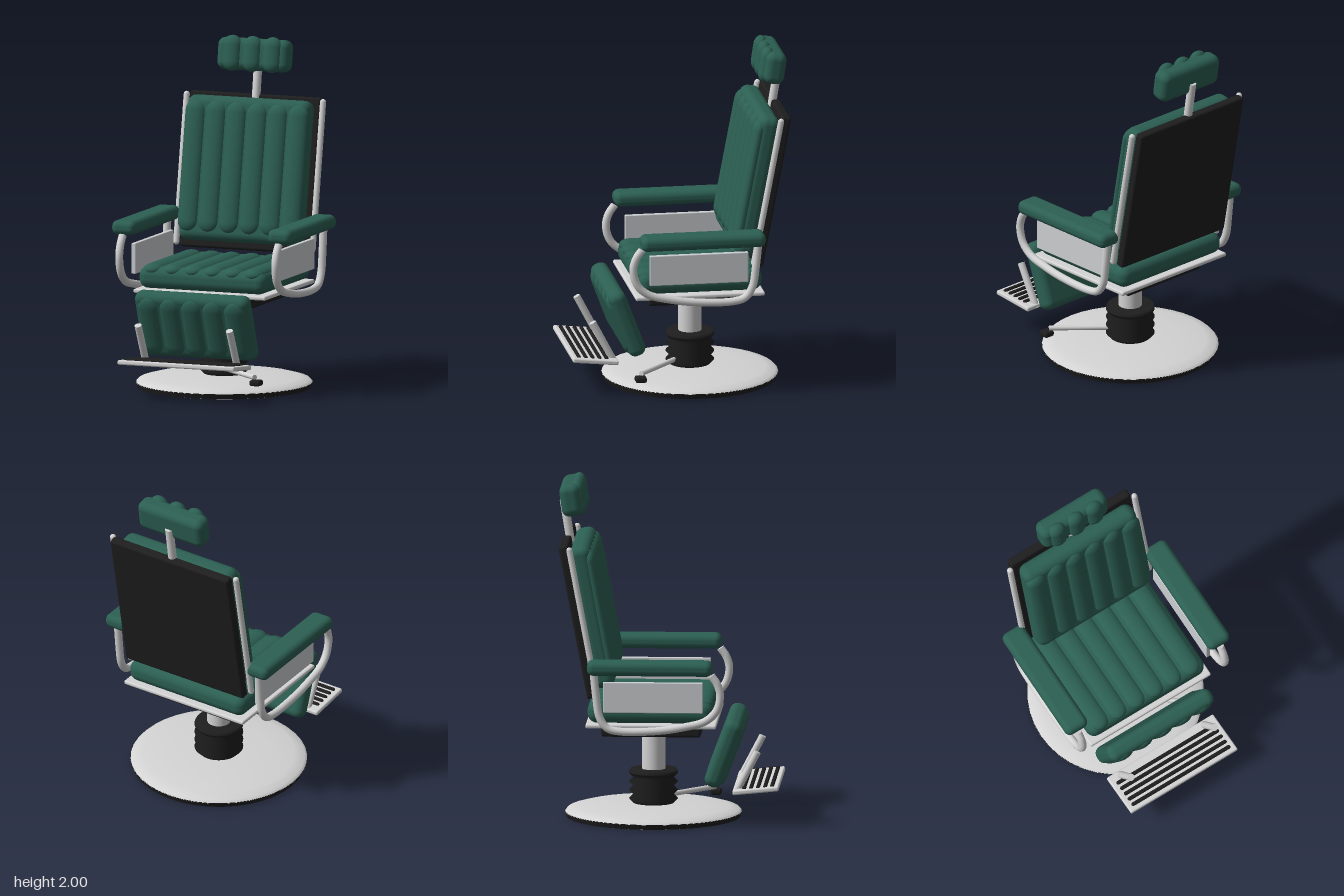
import * as THREE from 'three';
import { RoundedBoxGeometry } from 'three/addons/geometries/RoundedBoxGeometry.js';

const material = (name, color) => {
  const m = new THREE.MeshStandardMaterial({ color });
  m.name = name;
  return m;
};

export function createModel() {
  const green = material('green upholstery', 0x2c5f52);
  const black = material('black', 0x1e1e1e);
  const chrome = material('chrome', 0xd4d4d4);
  const panelGrey = material('panel grey', 0xcdd0d2);

  const chair = new THREE.Group();
  chair.name = 'recliningChair';

  const add = (parent, name, geometry, mat, x = 0, y = 0, z = 0) => {
    const mesh = new THREE.Mesh(geometry, mat);
    mesh.name = name;
    mesh.position.set(x, y, z);
    parent.add(mesh);
    return mesh;
  };
  const block = (parent, name, mat, size, pos, radius) =>
    add(parent, name, new RoundedBoxGeometry(...size, 4, radius), mat, ...pos);
  const group = (name, x, y, z, tilt) => {
    const g = new THREE.Group();
    g.name = name;
    g.position.set(x, y, z);
    g.rotation.x = tilt;
    chair.add(g);
    return g;
  };
  // Round bar between two points
  const rod = (parent, name, mat, a, b, r) => {
    const from = new THREE.Vector3(...a), to = new THREE.Vector3(...b);
    const dir = to.clone().sub(from);
    const mesh = add(parent, name, new THREE.CylinderGeometry(r, r, dir.length(), 16), mat);
    mesh.position.copy(from).add(to).multiplyScalar(0.5);
    mesh.quaternion.setFromUnitVectors(new THREE.Vector3(0, 1, 0), dir.normalize());
    return mesh;
  };
  // Row of flattened capsules along local y, bulging towards local z
  const ribs = (parent, count, spacing, radius, length, depth, y, z) => {
    for (let i = 0; i < count; i++) {
      const geo = new THREE.CapsuleGeometry(radius, length - 2 * radius, 8, 20);
      geo.scale(1, 1, depth / radius);
      add(parent, 'paddedRib', geo, green, (i - (count - 1) / 2) * spacing, y, z);
    }
  };
  const lathe = (name, mat, points) =>
    add(chair, name, new THREE.LatheGeometry(points.map(p => new THREE.Vector2(...p)), 40), mat, 0, 0, -0.1);

  // Base and lifting column
  add(chair, 'baseRim', new THREE.CylinderGeometry(0.515, 0.505, 0.03, 40), black, 0, 0.017, -0.1);
  add(chair, 'baseUnderside', new THREE.CylinderGeometry(0.495, 0.495, 0.004, 40), chrome, 0, 0.002, -0.1);
  lathe('baseDisc', chrome, [[0.515, 0.03], [0.5, 0.046], [0.44, 0.062], [0.3, 0.072], [0.14, 0.08], [0, 0.08]]);
  const folds = [[0.125, 0.07]];
  for (let i = 0; i < 4; i++) {
    const y = 0.08 + i * 0.05;
    folds.push([0.118, y], [0.142, y + 0.025]);
  }
  folds.push([0.142, 0.262], [0.135, 0.28], [0, 0.28]);
  lathe('bellows', black, folds).geometry = new THREE.LatheGeometry(
    folds.map(p => new THREE.Vector2(...p)), 32);
  add(chair, 'column', new THREE.CylinderGeometry(0.068, 0.068, 0.27, 32), chrome, 0, 0.395, -0.1);
  add(chair, 'columnCollar', new THREE.CylinderGeometry(0.09, 0.09, 0.02, 32), chrome, 0, 0.505, -0.1);

  // Pump pedal
  rod(chair, 'pedalLever', chrome, [0.06, 0.12, 0], [0.33, 0.12, 0.24], 0.015);
  block(chair, 'pedal', black, [0.065, 0.035, 0.065], [0.342, 0.09, 0.245], 0.012);

  // Seat
  block(chair, 'seatMount', black, [0.58, 0.07, 0.58], [0, 0.545, -0.1], 0.015);
  block(chair, 'seatFrame', chrome, [0.83, 0.025, 0.76], [0, 0.592, -0.095], 0.01);
  block(chair, 'seatCushion', green, [0.8, 0.13, 0.73], [0, 0.67, -0.1], 0.055);
  const seatRibs = group('seatRibs', 0, 0.715, -0.08, -Math.PI / 2);
  ribs(seatRibs, 6, 0.126, 0.063, 0.69, 0.037, 0, 0);

  // Backrest
  const back = group('backrest', 0, 0.755, -0.437, -0.187);
  block(back, 'backBoard', black, [0.82, 0.91, 0.055], [0, 0.455, 0], 0.015);
  block(back, 'backCushion', green, [0.77, 0.845, 0.125], [0, 0.462, 0.085], 0.05);
  ribs(back, 6, 0.129, 0.064, 0.77, 0.037, 0.47, 0.135);
  for (const s of [-1, 1]) {
    const rail = add(back, 'backRail', new THREE.CapsuleGeometry(0.018, 0.86, 4, 14), chrome, s * 0.428, 0.455, 0.035);
    rail.name = s > 0 ? 'leftBackRail' : 'rightBackRail';
  }

  // Headrest
  rod(chair, 'headrestPost', chrome, [0, 1.6, -0.58], [0, 1.86, -0.622], 0.025);
  const head = group('headrest', 0, 1.885, -0.572, -0.15);
  block(head, 'headCushion', green, [0.45, 0.188, 0.12], [0, 0, 0], 0.045);
  ribs(head, 3, 0.126, 0.057, 0.21, 0.04, 0.003, 0.045);

  // Armrests, tube loops and side panels
  const loop = [[0.91, 0.262], [0.86, 0.297], [0.79, 0.314], [0.7, 0.29], [0.64, 0.225], [0.605, 0.1],
    [0.582, -0.05], [0.577, -0.27], [0.597, -0.345], [0.66, -0.388], [0.78, -0.408], [0.94, -0.425]];
  for (const s of [-1, 1]) {
    const side = s > 0 ? 'left' : 'right';
    block(chair, side + 'Armrest', green, [0.148, 0.084, 0.73], [s * 0.49, 0.953, -0.095], 0.036);
    const curve = new THREE.CatmullRomCurve3(loop.map(([y, z]) => new THREE.Vector3(s * 0.49, y, z)));
    add(chair, side + 'ArmTube', new THREE.TubeGeometry(curve, 60, 0.023, 14), chrome);
    const cap = add(chair, side + 'ArmTubeEnd', new THREE.CircleGeometry(0.023, 14), chrome, s * 0.49, 0.91, 0.262);
    cap.rotation.x = -Math.PI / 2 - 0.6;
    block(chair, side + 'SidePanel', panelGrey, [0.028, 0.18, 0.58], [s * 0.443, 0.77, -0.08], 0.005);
  }

  // Calf pad
  const leg = group('legRest', 0, 0.418, 0.327, 0.36);
  block(leg, 'legCushion', green, [0.715, 0.41, 0.105], [0, 0, -0.005], 0.045);
  ribs(leg, 5, 0.135, 0.066, 0.37, 0.03, 0, 0.036);

  // Footplate with grip strips and support arms
  const foot = group('footrest', 0, 0.212, 0.512, -0.1);
  block(foot, 'footPlate', chrome, [0.735, 0.028, 0.27], [0, 0, 0], 0.01);
  for (let i = 0; i < 5; i++) {
    const strip = add(foot, 'gripStrip', new THREE.CapsuleGeometry(0.012, 0.656, 4, 10), black, 0, 0.014, -0.067 + i * 0.041);
    strip.rotation.z = Math.PI / 2;
  }
  for (const s of [-1, 1])
    rod(chair, s > 0 ? 'leftFootArm' : 'rightFootArm', chrome, [s * 0.287, 0.43, 0.52], [s * 0.287, 0.185, 0.392], 0.021);

  return chair;
}
